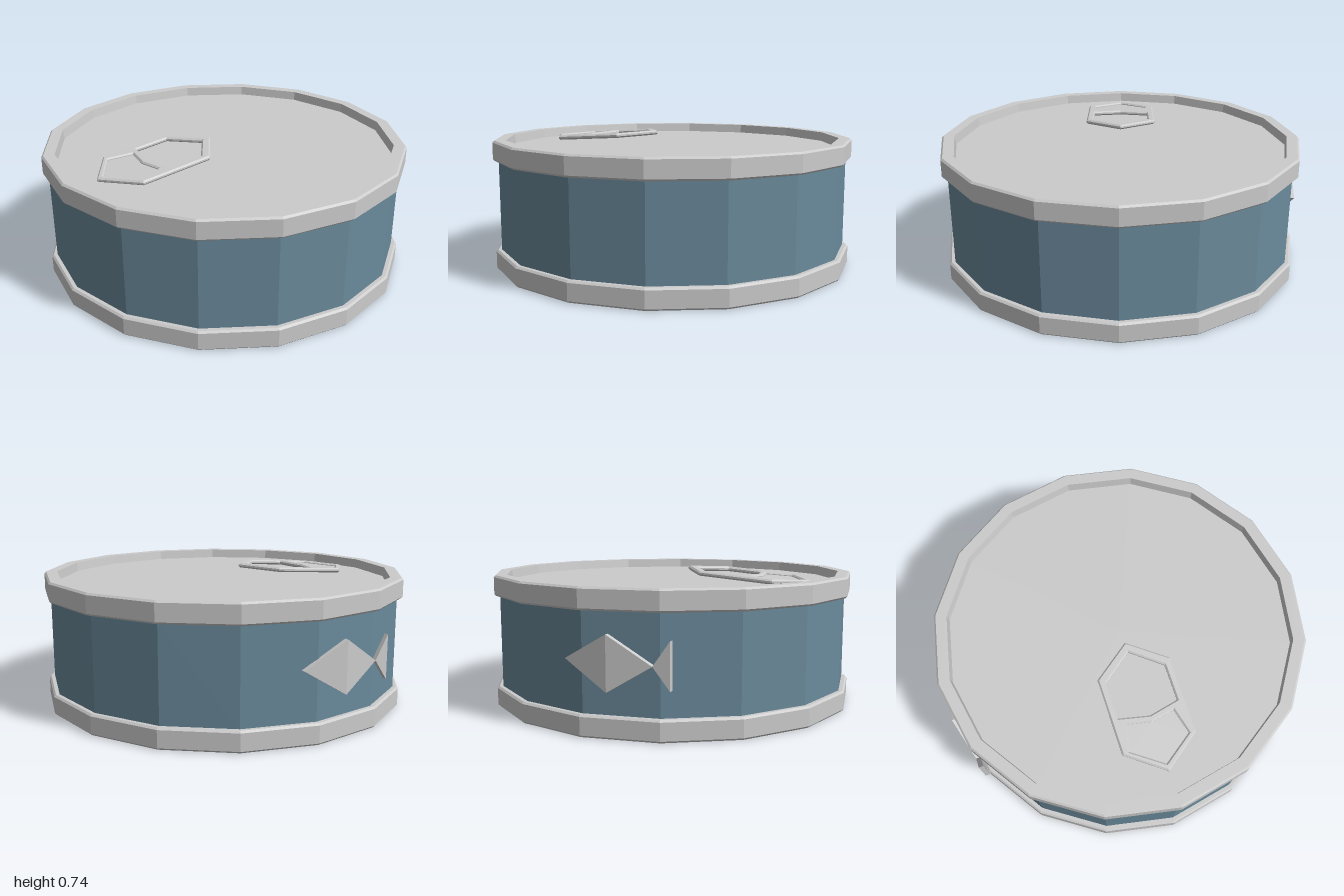
import * as THREE from 'three';

const SIDES = 16;

function mesh(name, geometry, color = 0xcccccc) {
  const m = new THREE.Mesh(geometry, new THREE.MeshStandardMaterial({ color, flatShading: true }));
  m.name = name;
  return m;
}

const lathe = (profile) =>
  new THREE.LatheGeometry(profile.map(([r, y]) => new THREE.Vector2(r, y)), SIDES);

// Closed outline mirrored in x: points run from the near tip round the +x side
function mirrored(half, Type) {
  const other = half.filter(([x]) => x > 0).reverse().map(([x, z]) => [-x, z]);
  return new Type([...half, ...other].map(([x, z]) => new THREE.Vector2(x, z)));
}

// Flat plate lying in the xz plane, its top at the given height
function plate(shape, thickness, bevel, top) {
  const g = new THREE.ExtrudeGeometry(shape, {
    depth: thickness - 2 * bevel, bevelEnabled: bevel > 0, bevelSegments: 1,
    bevelThickness: bevel, bevelSize: bevel, bevelOffset: -bevel,
  });
  g.translate(0, 0, bevel);
  g.rotateX(Math.PI / 2);
  g.translate(0, top, 0);
  return g;
}

// Thin solid facing -x from an outline that may be folded
function slab(outline, faces, thickness) {
  const n = outline.length;
  const positions = [...outline, ...outline.map(([x, y, z]) => [x + thickness, y, z])];
  const index = [];
  for (const [a, b, c] of faces) index.push(a, b, c, c + n, b + n, a + n);
  for (let a = 0; a < n; a++) {
    const b = (a + 1) % n;
    index.push(a, a + n, b + n, a, b + n, b);
  }
  const g = new THREE.BufferGeometry();
  g.setAttribute('position', new THREE.Float32BufferAttribute(positions.flat(), 3));
  g.setIndex(index);
  g.computeVertexNormals();
  return g;
}

export function createModel() {
  const model = new THREE.Group();
  model.name = 'can';

  // Coloured wall between the two rims
  model.add(mesh('wall', lathe([[0.97, 0.1], [0.97, 0.61]]), 0x6a8a9b));

  // Rims with their recessed lid and base
  model.add(mesh('topRimAndLid', lathe([
    [0.96, 0.6], [0.99, 0.6], [1, 0.61], [1, 0.7], [0.99, 0.71],
    [0.93, 0.71], [0.923, 0.66], [0, 0.66],
  ])));
  model.add(mesh('bottomRimAndBase', lathe([
    [0, 0.04], [0.923, 0.04], [0.93, 0], [0.99, 0], [1, 0.01],
    [1, 0.1], [0.99, 0.11], [0.96, 0.11],
  ])));

  // Pull tab, tilted so its finger end lifts off the lid
  const tab = new THREE.Group();
  tab.name = 'pullTab';
  const frame = mirrored([[0, 0.1], [0.2, 0.25], [0.2, 0.66], [0, 0.81]], THREE.Shape);
  const recess = [[0, 0.545], [0.125, 0.52], [0.16, 0.655], [0, 0.77]];
  frame.holes.push(
    mirrored([[0, 0.155], [0.16, 0.28], [0.16, 0.475], [0, 0.51]], THREE.Path),
    mirrored(recess, THREE.Path),
  );
  tab.add(mesh('tabFrame', plate(frame, 0.025, 0.008, 0)));
  tab.add(mesh('tabPanel', plate(mirrored(recess, THREE.Shape), 0.01, 0, -0.012)));
  tab.rotation.x = Math.atan(0.075);
  tab.position.y = 0.7475;
  model.add(tab);

  // Fish emblem standing just off the wall
  const fish = new THREE.Group();
  fish.name = 'fishEmblem';
  const joint = [-0.945, 0.36, 0.355];
  fish.add(mesh('fishBody', slab(
    [[-0.985, 0.37, -0.083], [-1, 0.23, 0.146], joint, [-1, 0.5, 0.146]],
    [[0, 1, 3], [1, 2, 3]], 0.025)));
  fish.add(mesh('fishTail', slab(
    [joint, [-0.93, 0.25, 0.437], [-0.93, 0.48, 0.437]], [[0, 1, 2]], 0.025)));
  model.add(fish);

  return model;
}
